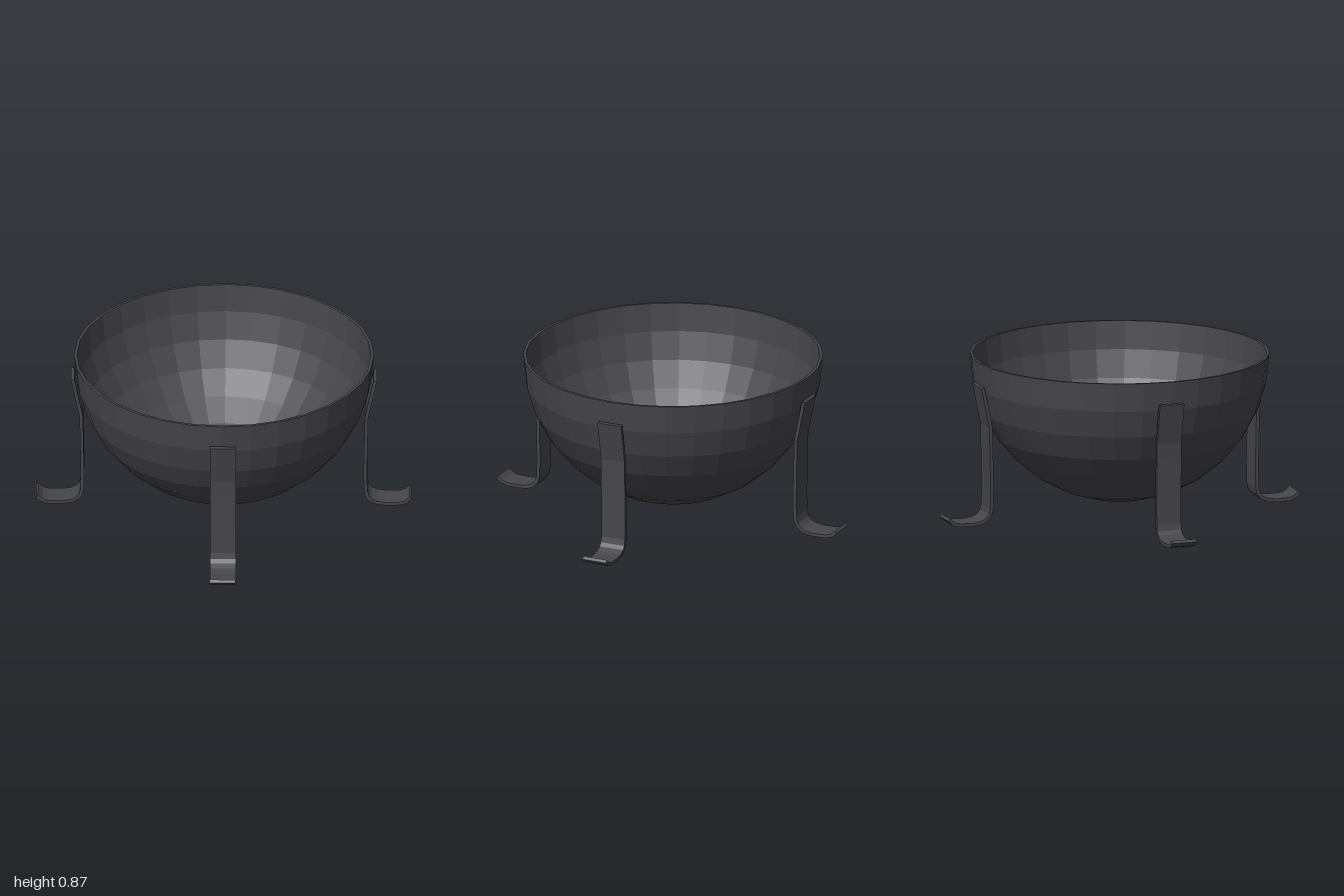
import * as THREE from 'three';

const RIM_Y = 0.87;

// Quarter-circle profile of a hemisphere, from the bottom pole up to the rim
function quarterArc(radius, steps) {
  const points = [];
  for (let i = 0; i <= steps; i++) {
    const a = (i / steps) * Math.PI / 2;
    points.push(new THREE.Vector2(radius * Math.sin(a), RIM_Y - radius * Math.cos(a)));
  }
  return points;
}

// Closed outline of a strip of even thickness that follows a path
function stripShape(path, thickness) {
  const sideA = [], sideB = [];
  path.forEach((p, i) => {
    const before = path[Math.max(i - 1, 0)];
    const after = path[Math.min(i + 1, path.length - 1)];
    const dir = after.clone().sub(before).normalize();
    const offset = new THREE.Vector2(-dir.y, dir.x).multiplyScalar(thickness / 2);
    sideA.push(p.clone().add(offset));
    sideB.unshift(p.clone().sub(offset));
  });
  return new THREE.Shape([...sideA, ...sideB]);
}

export function createModel() {
  const group = new THREE.Group();
  const iron = new THREE.MeshStandardMaterial({ color: 0x46464b, flatShading: true });

  // Bowl: outer shell, thin rim, inner shell
  const profile = [...quarterArc(0.795, 8), ...quarterArc(0.78, 8).reverse()];
  const bowl = new THREE.Mesh(new THREE.LatheGeometry(profile, 32), iron);
  bowl.name = 'bowl';
  bowl.position.z = -0.004;
  group.add(bowl);

  // Legs: bent flat strips, path as [distance from centre, height]
  const path = [
    [0.802, 0.75], [0.757, 0.53], [0.755, 0.45], [0.75, 0.2], [0.752, 0.09], [0.76, 0.055],
    [0.778, 0.033], [0.81, 0.017], [0.86, 0.01], [0.935, 0.012], [0.965, 0.022], [0.991, 0.046],
  ].map(([x, y]) => new THREE.Vector2(x, y));
  const width = 0.138;
  const legGeometry = new THREE.ExtrudeGeometry(stripShape(path, 0.018), {
    depth: width, bevelEnabled: false,
  });
  legGeometry.translate(0, 0, -width / 2);

  ['leftLeg', 'backLeg', 'rightLeg', 'frontLeg'].forEach((name, i) => {
    const leg = new THREE.Mesh(legGeometry, iron);
    leg.name = name;
    leg.rotation.y = i * Math.PI / 2;
    // front and back legs sit a hair to the left, side legs a hair to the back
    if (i % 2) leg.position.x = 0.004;
    else leg.position.z = -0.01;
    group.add(leg);
  });

  return group;
}
